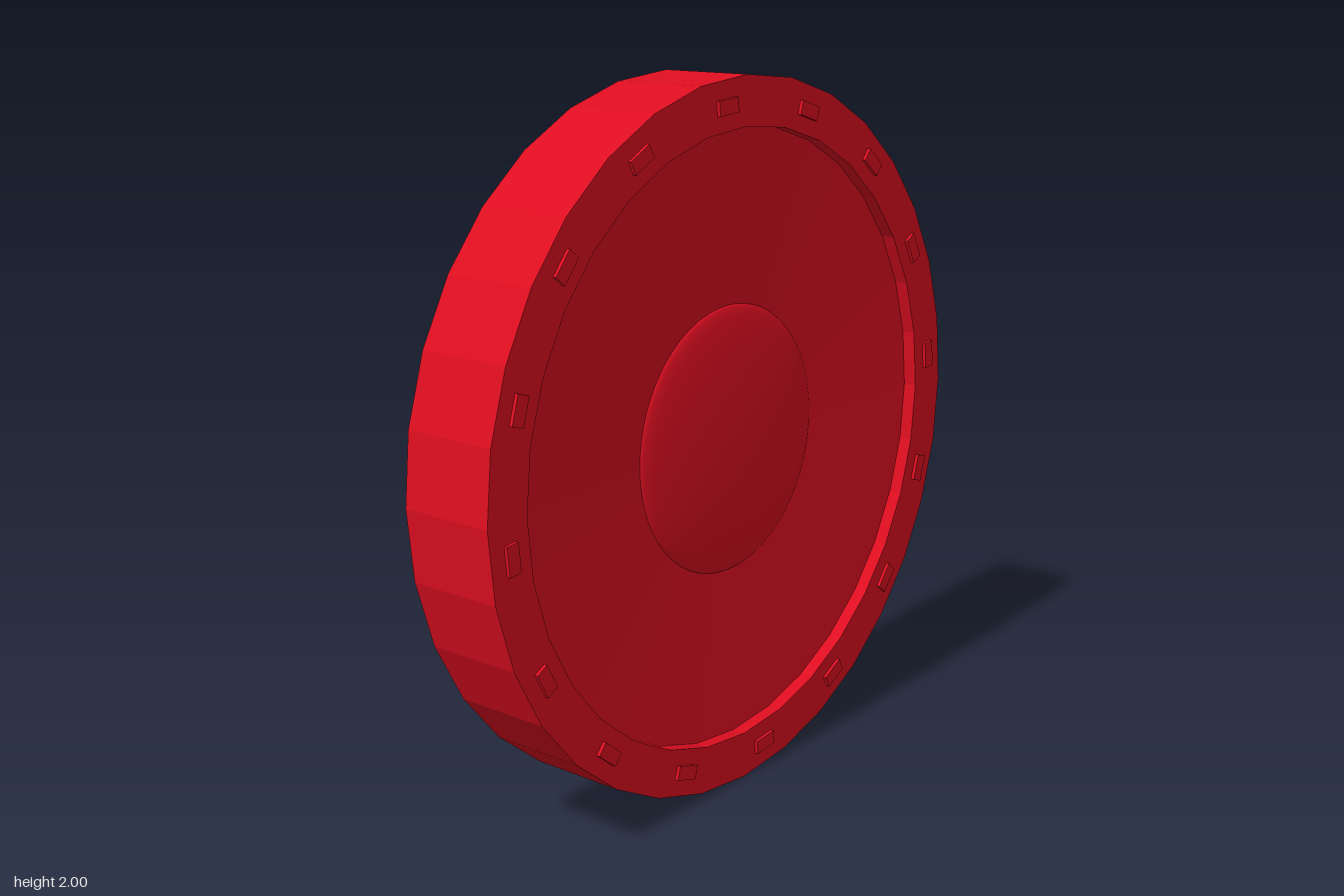
import * as THREE from 'three';

const SIDES = 32, STUDS = 16;

export function createModel() {
  const group = new THREE.Group();
  group.name = 'wheel';
  const red = { color: 0xdd0e20 };
  const flat = new THREE.MeshStandardMaterial({ ...red, flatShading: true });
  const smooth = new THREE.MeshStandardMaterial(red);

  // Everything is built around the wheel's axle, along x, then lifted to stand on y = 0
  const add = (name, geometry, material) => {
    const mesh = new THREE.Mesh(geometry, material);
    mesh.name = name;
    mesh.position.y = 1;
    group.add(mesh);
    return mesh;
  };

  // Faceted rim with a recessed, slightly dished web on both sides
  const half = [[1, 0.14], [0.865, 0.14], [0.865, 0.1], [0, 0.065]];
  const profile = [
    ...half.map(([r, x]) => new THREE.Vector2(r, -x)).reverse(),
    ...half.map(([r, x]) => new THREE.Vector2(r, x)),
  ];
  const body = new THREE.LatheGeometry(profile, SIDES);
  body.rotateZ(-Math.PI / 2);
  add('rimAndWeb', body, flat);

  // Shallow domed hub cap on each side
  for (const side of [1, -1]) {
    const dome = new THREE.SphereGeometry(0.38, 64, 16, 0, Math.PI * 2, 0, Math.PI / 2);
    dome.scale(1, 0.03 / 0.38, 1);
    dome.rotateZ(-side * Math.PI / 2);
    dome.translate(side * 0.08, 0, 0);
    add(side > 0 ? 'leftHub' : 'rightHub', dome, smooth);
  }

  // Small studs running through the rim, showing on both faces
  for (let i = 0; i < STUDS; i++) {
    const stud = new THREE.BoxGeometry(0.3, 0.04, 0.08);
    stud.translate(0, 0.927, 0);
    stud.rotateX((i + 0.25) * Math.PI * 2 / STUDS);
    add('rimStud', stud, flat);
  }
  return group;
}
